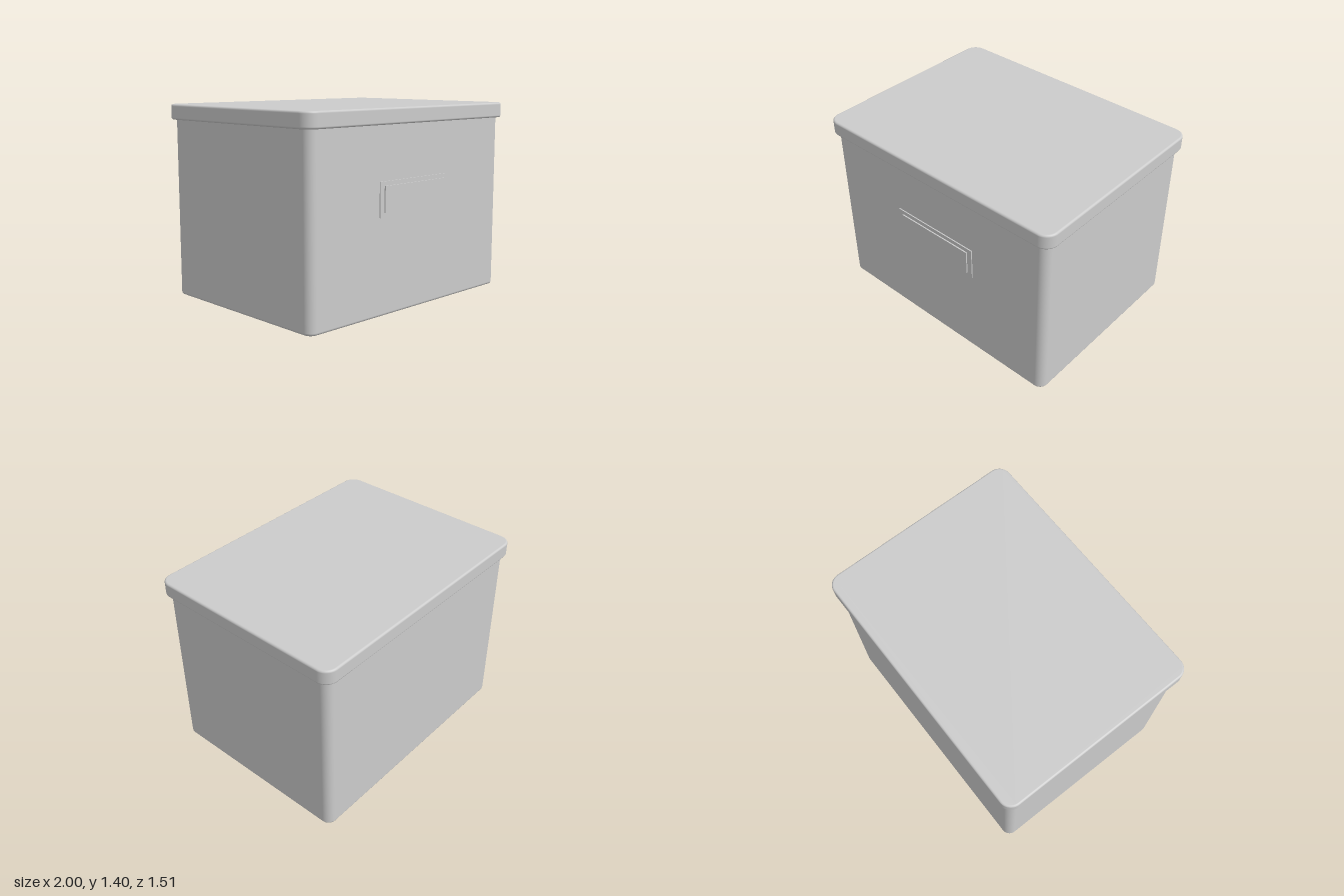
import * as THREE from 'three';

const material = new THREE.MeshStandardMaterial({ color: 0xcccccc });

// Block with vertical corners of radius r and softly rounded rims of radius b, standing on y = 0
function roundedBlock(width, height, depth, r, b) {
  const cx = width / 2 - r, cz = depth / 2 - r, inset = r - b;
  const shape = new THREE.Shape();
  shape.absarc(cx, cz, inset, 0, Math.PI / 2);
  shape.absarc(-cx, cz, inset, Math.PI / 2, Math.PI);
  shape.absarc(-cx, -cz, inset, Math.PI, Math.PI * 1.5);
  shape.absarc(cx, -cz, inset, Math.PI * 1.5, Math.PI * 2);
  const geometry = new THREE.ExtrudeGeometry(shape, {
    depth: height - 2 * b, bevelThickness: b, bevelSize: b, bevelSegments: 5, curveSegments: 10,
  });
  geometry.rotateX(-Math.PI / 2).translate(0, b, 0);

  // Smooth normals: point away from the nearest spot of the inner core
  const p = geometry.attributes.position, n = geometry.attributes.normal;
  const beyond = (v, lo, hi) => v - THREE.MathUtils.clamp(v, lo, hi);
  const normal = new THREE.Vector3();
  for (let i = 0; i < p.count; i++) {
    normal.set(beyond(p.getX(i), -cx, cx), 0, beyond(p.getZ(i), -cz, cz));
    const reach = normal.length() - inset;
    normal.setLength(Math.max(reach, 0));
    normal.y = beyond(p.getY(i), b, height - b);
    normal.normalize();
    n.setXYZ(i, normal.x, normal.y, normal.z);
  }
  return geometry;
}

export function createModel() {
  const group = new THREE.Group();
  const add = (name, geometry, x, y, z) => {
    const mesh = new THREE.Mesh(geometry, material);
    mesh.name = name;
    mesh.position.set(x, y, z);
    group.add(mesh);
  };

  // Box and overhanging lid
  add('boxBody', roundedBlock(1.93, 1.34, 1.45, 0.065, 0.02), 0, 0, 0);
  add('lid', roundedBlock(2, 0.11, 1.514, 0.09, 0.015), 0, 1.286, 0);

  // Label plate with its raised card on the front
  add('labelPlate', new THREE.BoxGeometry(0.69, 0.24, 0.02), 0, 0.795, 0.723);
  add('labelCard', new THREE.BoxGeometry(0.612, 0.18, 0.02), 0, 0.795, 0.732);

  return group;
}
